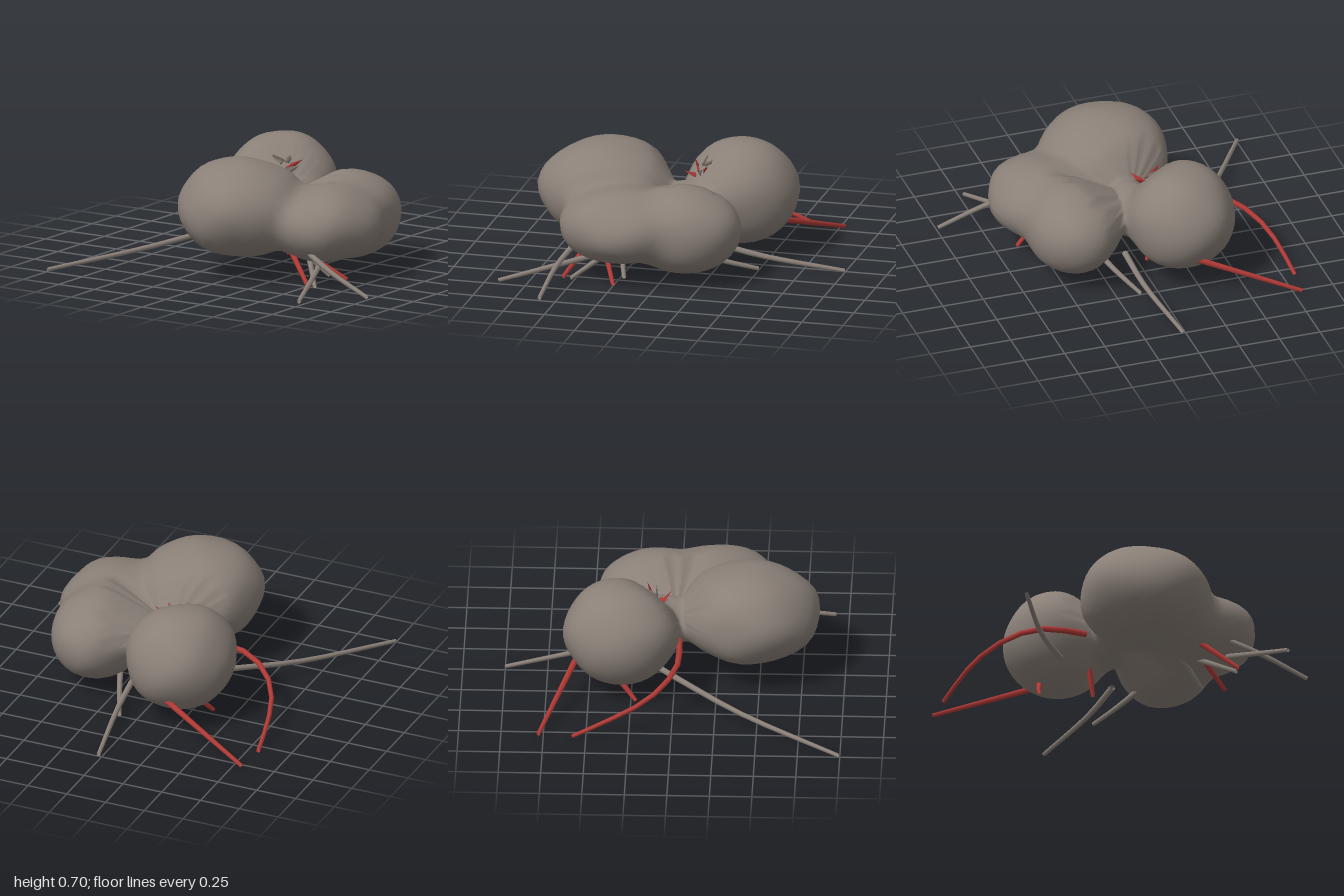
import * as THREE from 'three';
import { mergeVertices } from 'three/addons/utils/BufferGeometryUtils.js';

// Each lobe: centre and radii
const LOBES = [
  { c: [-0.205, 0.39, -0.31], r: [0.32, 0.315, 0.345] }, // back
  { c: [0.01, 0.36, -0.1], r: [0.16, 0.16, 0.24] }, // neck
  { c: [0.02, 0.41, 0.44], r: [0.375, 0.285, 0.41] }, // front
  { c: [-0.1, 0.45, 0.42], r: [0.24, 0.24, 0.3] }, // front shoulder
  { c: [0.4, 0.32, -0.12], r: [0.28, 0.262, 0.345] }, // side
  { c: [0.455, 0.335, 0.23], r: [0.325, 0.225, 0.38] }, // front corner
];
const HOLLOW = new THREE.Vector3(-0.05, 0.58, -0.09);

// Signed field of the softly merged lobes, with gentle lumps and a hollow on top
function field(p) {
  let d = 1;
  for (const { c, r } of LOBES) {
    const q = Math.hypot((p.x - c[0]) / r[0], (p.y - c[1]) / r[1], (p.z - c[2]) / r[2]);
    const e = (q - 1) * Math.min(...r);
    const h = Math.max(0.05 - Math.abs(d - e), 0) / 0.05;
    d = Math.min(d, e) - h * h * 0.0125;
  }
  const lumps = Math.sin(11 * p.x + 4 * p.y + 1) * Math.sin(12 * p.y + 2) * Math.sin(10 * p.z - 5 * p.x);
  return d + 0.01 * lumps + 0.045 * Math.exp(-p.distanceToSquared(HOLLOW) / 0.025);
}

// Push a sphere out from the middle until it meets the field
function boulderGeometry() {
  let g = new THREE.IcosahedronGeometry(1, 15);
  g.deleteAttribute('uv');
  g.deleteAttribute('normal');
  g = mergeVertices(g, 1e-4);
  const centre = new THREE.Vector3(0.01, 0.38, 0);
  const pos = g.attributes.position;
  const dir = new THREE.Vector3(), p = new THREE.Vector3();
  const at = (t) => field(p.copy(centre).addScaledVector(dir, t));
  for (let i = 0; i < pos.count; i++) {
    dir.fromBufferAttribute(pos, i).normalize();
    let hi = 1.3;
    while (hi > 0.04 && at(hi - 0.02) > 0) hi -= 0.02;
    let lo = hi - 0.02;
    for (let k = 0; k < 12; k++) {
      const mid = (lo + hi) / 2;
      if (at(mid) > 0) hi = mid; else lo = mid;
    }
    at(lo);
    pos.setXYZ(i, p.x, p.y, p.z);
  }
  g.computeVertexNormals();
  return g;
}

// Tapered strand along a path whose last point is the tip
function strandGeometry(points) {
  const path = new THREE.CatmullRomCurve3(points.map((a) => new THREE.Vector3(...a)), false, 'centripetal');
  const steps = 8, sides = 7;
  const g = new THREE.TubeGeometry(path, steps, 0.019, sides);
  const pos = g.attributes.position, v = new THREE.Vector3();
  for (let i = 0; i <= steps; i++) {
    const c = path.getPointAt(i / steps);
    for (let j = 0; j <= sides; j++) {
      const n = i * (sides + 1) + j;
      v.fromBufferAttribute(pos, n).sub(c).multiplyScalar(1 - 0.35 * i / steps).add(c);
      pos.setXYZ(n, v.x, v.y, v.z);
    }
  }
  return g;
}

export function createModel() {
  const group = new THREE.Group();
  const stone = new THREE.MeshStandardMaterial({ color: 0x8a8078, side: THREE.DoubleSide });
  stone.name = 'warm grey';
  const red = new THREE.MeshStandardMaterial({ color: 0xb03a36, side: THREE.DoubleSide });
  red.name = 'red';
  const add = (name, geometry, material) => {
    const m = new THREE.Mesh(geometry, material);
    m.name = name;
    group.add(m);
    return m;
  };

  add('boulder', boulderGeometry(), stone);

  // Grey roots
  [
    [[-0.25, 0.2, -0.13], [-0.42, 0.16, 0.08], [-0.65, 0.09, 0.41], [-1, 0.015, 0.99]],
    [[0.12, 0.15, -0.25], [0.1, 0.09, -0.53], [0.02, 0.015, -1]],
    [[0.46, 0.235, 0.49], [0.71, 0.13, 0.57], [0.99, 0.015, 0.6]],
    [[0.5, 0.18, 0.3], [0.6, 0.115, 0.55], [0.72, 0.015, 0.92]],
    [[0.26, 0.13, -0.15], [0.19, 0.07, -0.32], [0.11, 0.015, -0.5]],
    [[0.32, 0.16, 0.28], [0.48, 0.015, 0.22]],
    [[0.38, 0.16, 0.3], [0.57, 0.015, 0.52]],
  ].forEach((pts) => add('greyRoot', strandGeometry(pts), stone));

  // Red roots
  [
    [[-0.22, 0.22, -0.57], [-0.8, 0.015, -0.78]],
    [[-0.18, 0.32, 0.03], [-0.44, 0.305, 0.03], [-0.59, 0.265, -0.03],
      [-0.71, 0.2, -0.15], [-0.78, 0.125, -0.33], [-0.82, 0.015, -0.58]],
    [[-0.32, 0.13, -0.32], [-0.37, 0.015, -0.22]],
    [[-0.09, 0.18, -0.12], [-0.05, 0.015, -0.15]],
    [[0.38, 0.18, 0.37], [0.62, 0.015, 0.25]],
    [[0.34, 0.21, 0.44], [0.56, 0.015, 0.57]],
  ].forEach((pts) => add('redRoot', strandGeometry(pts), red));

  // Flat shards lying in the hollow between the lobes
  for (let i = 0; i < 6; i++) {
    const a = i * 2.4;
    const g = new THREE.ConeGeometry(0.034, 0.12, 3);
    g.translate(0, 0.04, 0);
    g.scale(1, 1, 0.4);
    const shard = add('shard', g, i % 2 === 1 ? red : stone);
    const base = new THREE.Vector3(-0.07 + 0.03 * Math.cos(a), 0.8, -0.11 + 0.04 * Math.sin(a));
    while (base.y > 0.4 && field(base) > 0) base.y -= 0.01;
    shard.position.copy(base);
    shard.rotation.set(1.1 * Math.sin(a), 0, -1.1 * Math.cos(a));
  }
  return group;
}
